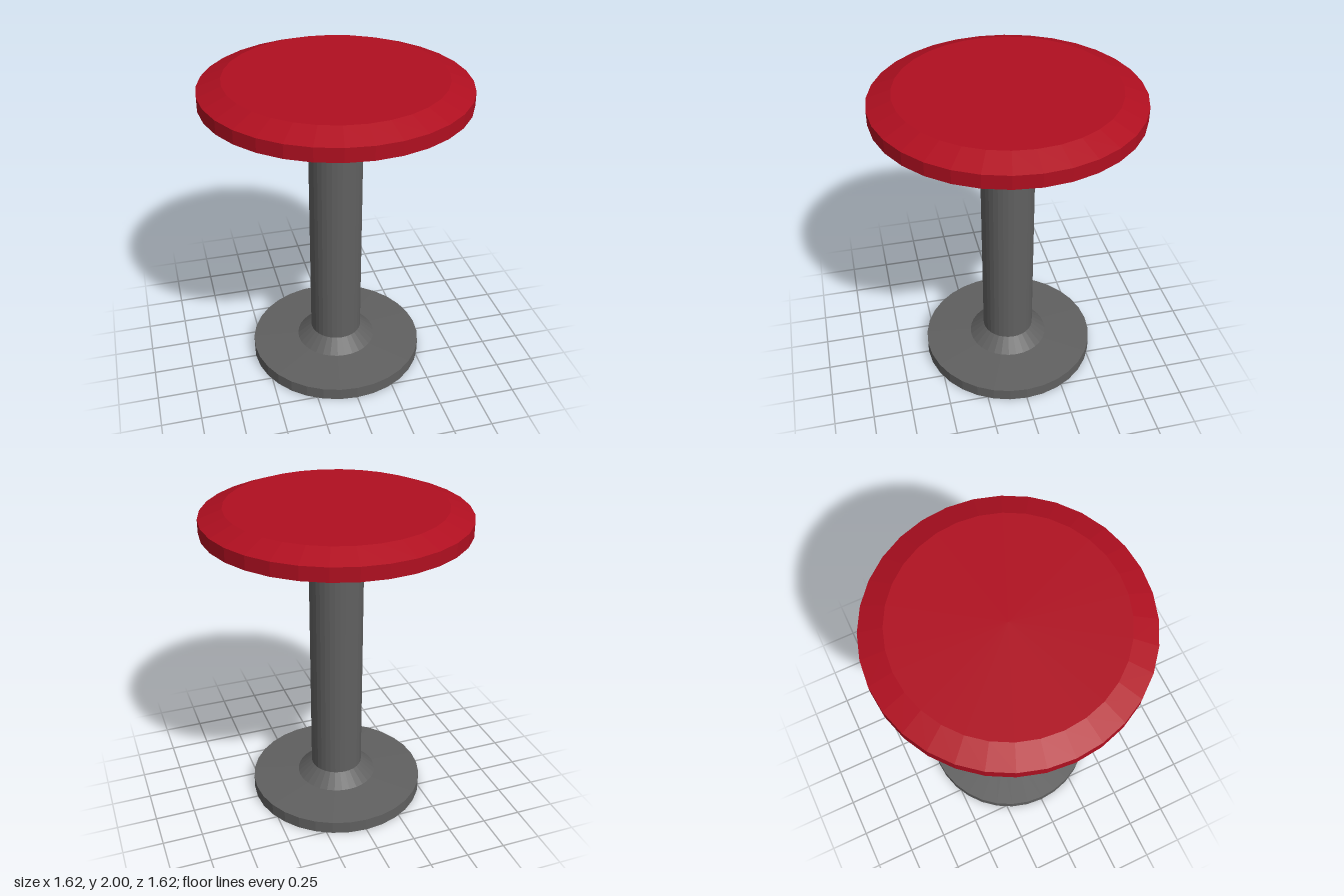
import * as THREE from 'three';

const SIDES = 32;

// Solid of revolution from [radius, height] points, listed bottom to top
function turned(name, profile, material) {
  const points = profile.map(([r, y]) => new THREE.Vector2(r, y));
  const mesh = new THREE.Mesh(new THREE.LatheGeometry(points, SIDES), material);
  mesh.name = name;
  return mesh;
}

export function createModel() {
  const metal = new THREE.MeshStandardMaterial({ color: 0x606060, flatShading: true });
  const red = new THREE.MeshStandardMaterial({ color: 0xb00f20, flatShading: true });
  const stool = new THREE.Group();
  stool.name = 'stool';

  stool.add(
    // Floor disc with a slightly domed top
    turned('base', [[0, 0], [0.565, 0], [0.565, 0.08], [0.26, 0.1], [0, 0.1]], metal),
    // Conical flare where the post meets the base
    turned('collar', [[0.26, 0.1], [0.168, 0.18]], metal),
    turned('post', [[0.168, 0.18], [0.168, 1.8]], metal),
    // Plate under the cushion
    turned('seatPlate', [[0, 1.8], [0.65, 1.8], [0.65, 1.86]], metal),
    // Cushion with a bevelled upper edge
    turned('seat', [[0, 1.86], [0.81, 1.86], [0.81, 1.945], [0.665, 2], [0, 2]], red),
  );
  return stool;
}
